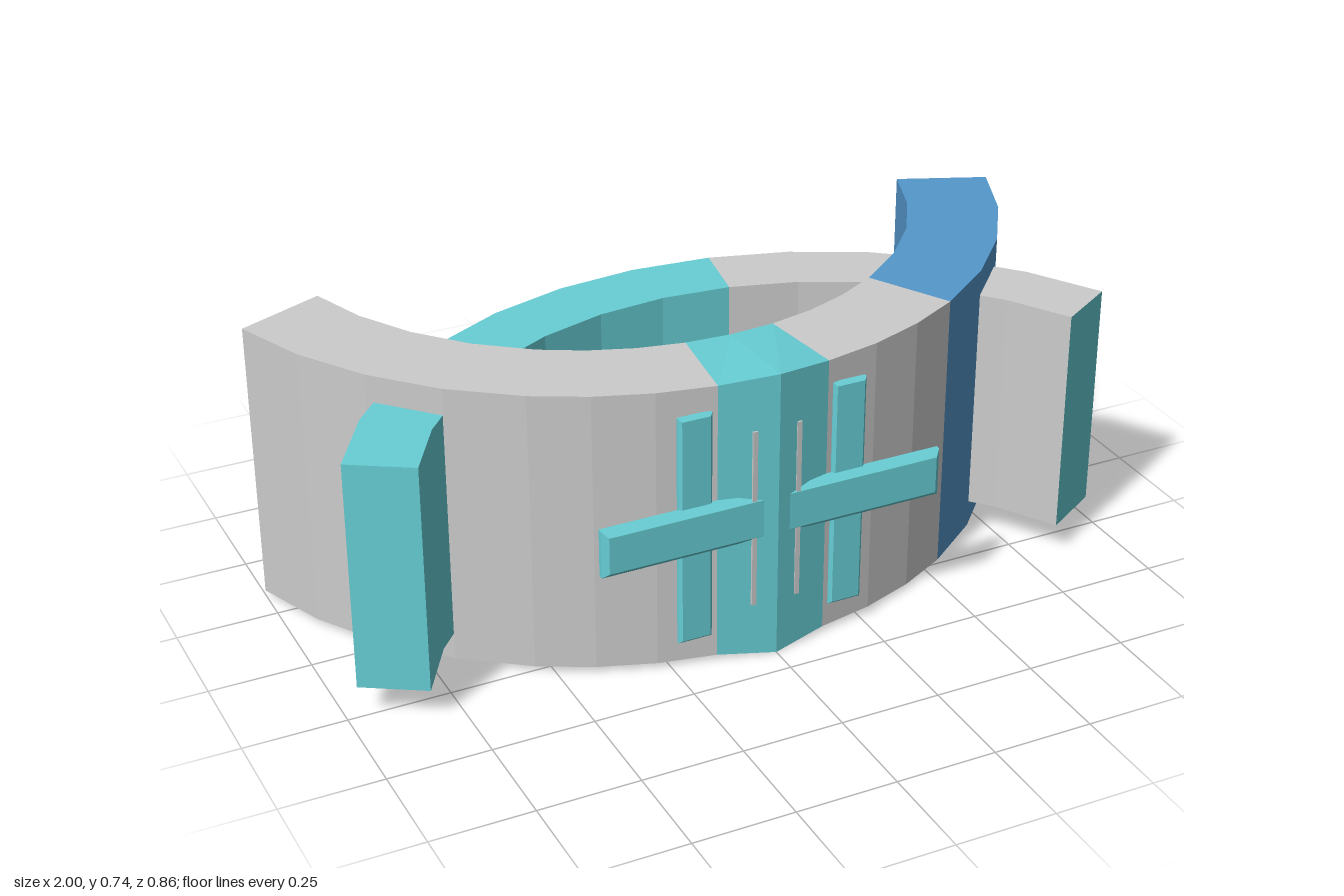
import * as THREE from 'three';

const material = (color) => new THREE.MeshStandardMaterial({ color, flatShading: true });
const GREY = material(0xcccccc);
const TEAL = material(0x67cfd6);
const BLUE = material(0x5598cc);
const RAD = Math.PI / 180;

function geometryFromQuads(quads) {
  const pos = [];
  for (const [a, b, c, d] of quads) pos.push(...a, ...b, ...c, ...a, ...c, ...d);
  const g = new THREE.BufferGeometry();
  g.setAttribute('position', new THREE.Float32BufferAttribute(pos, 3));
  g.computeVertexNormals();
  return g;
}

function add(parent, name, geometry, mat) {
  const mesh = new THREE.Mesh(geometry, mat);
  mesh.name = name;
  parent.add(mesh);
  return mesh;
}

// Rectangular cross-section of a curved band at a given angle from +z
function section(band, deg) {
  const ao = deg * RAD, ai = ao * band.innerStretch;
  const mid = deg === 0;
  const bulge = mid ? band.bulge : 0, rise = mid ? band.rise : 0;
  const xo = band.outer * Math.sin(ao), zo = band.outerZ + band.outer * Math.cos(ao) + bulge;
  const xi = band.inner * Math.sin(ai), zi = band.innerZ + band.inner * Math.cos(ai);
  return [
    [xo, band.y0 - rise, zo], [xo, band.y1 + rise, zo],
    [xi, band.y1, zi], [xi, band.y0, zi],
  ];
}

// One coloured run of a band
function run(band, angles) {
  const rings = angles.map((a) => section(band, a));
  const quads = [];
  for (let i = 0; i + 1 < rings.length; i++) {
    const p = rings[i], q = rings[i + 1];
    for (let k = 0; k < 4; k++) {
      const n = (k + 1) % 4;
      quads.push([p[k], q[k], q[n], p[n]]);
    }
  }
  return geometryFromQuads(quads);
}

// End faces
const startCap = (band, a) => geometryFromQuads([section(band, a)]);
const endCap = (band, a) => geometryFromQuads([section(band, a).reverse()]);

const range = (from, to, n) => Array.from({ length: n + 1 }, (_, i) => from + ((to - from) * i) / n);

// Box with chamfered edges, centred on its own origin
function chamferBox(w, h, d, b) {
  const x = w / 2 - b, y = h / 2 - b;
  const shape = new THREE.Shape([[-x, -y], [x, -y], [x, y], [-x, y]].map((p) => new THREE.Vector2(...p)));
  const g = new THREE.ExtrudeGeometry(shape, {
    depth: d - 2 * b, bevelEnabled: true, bevelThickness: b, bevelSize: b, bevelSegments: 1,
  });
  return g.translate(0, 0, -(d - 2 * b) / 2);
}

export function createModel() {
  const model = new THREE.Group();
  model.name = 'interlockingBands';

  // Front band: grey, teal keystone in the middle, blue arm on +x
  const front = {
    outer: 1.044, outerZ: -0.64, inner: 0.812, innerZ: -0.632, innerStretch: 1.031,
    y0: 0.014, y1: 0.725, bulge: 0.024, rise: 0.013,
  };
  const frontBand = new THREE.Group();
  frontBand.name = 'frontBand';
  const key = 7.7, joint = 31.2, tip = 73.3;
  add(frontBand, 'frontBandRightArm', run(front, [...range(-tip, -joint, 4), ...range(-joint, -key, 3).slice(1)]), GREY);
  add(frontBand, 'frontBandKeystone', run(front, [-key, 0, key]), TEAL);
  add(frontBand, 'frontBandLeftShoulder', run(front, range(key, joint, 3)), GREY);
  add(frontBand, 'frontBandLeftArm', run(front, range(joint, tip, 4)), BLUE);
  add(frontBand, 'frontBandRightEnd', startCap(front, -tip), BLUE);
  add(frontBand, 'frontBandLeftEnd', endCap(front, tip), BLUE);
  model.add(frontBand);

  // Back band: same construction, turned to face backwards
  const back = {
    outer: 1.081, outerZ: -0.72, inner: 0.919, innerZ: -0.734, innerStretch: 1.003,
    y0: 0.082, y1: 0.658, bulge: 0, rise: 0,
  };
  const backBand = new THREE.Group();
  backBand.name = 'backBand';
  const end = 64.2, step = end / 6;
  add(backBand, 'backBandLeftArm', run(back, range(-end, -step, 5)), GREY);
  add(backBand, 'backBandRightArm', run(back, range(-step, end, 7)), TEAL);
  add(backBand, 'backBandLeftEnd', startCap(back, -end), TEAL);
  add(backBand, 'backBandRightEnd', endCap(back, end), TEAL);
  backBand.rotation.y = Math.PI;
  model.add(backBand);

  // Ornament on the front: cross bar, two uprights and two thin inlays
  const ornament = new THREE.Group();
  ornament.name = 'frontOrnament';
  add(ornament, 'crossBar', chamferBox(0.87, 0.122, 0.04, 0.014), TEAL).position.set(0, 0.371, 0.4);
  for (const s of [-1, 1]) {
    add(ornament, 'upright', chamferBox(0.085, 0.59, 0.022, 0.007), TEAL).position.set(s * 0.196, 0.369, 0.391);
    add(ornament, 'inlay', new THREE.BoxGeometry(0.012, 0.458, 0.02), GREY).position.set(s * 0.056, 0.371, 0.409);
  }
  model.add(ornament);

  return model;
}
